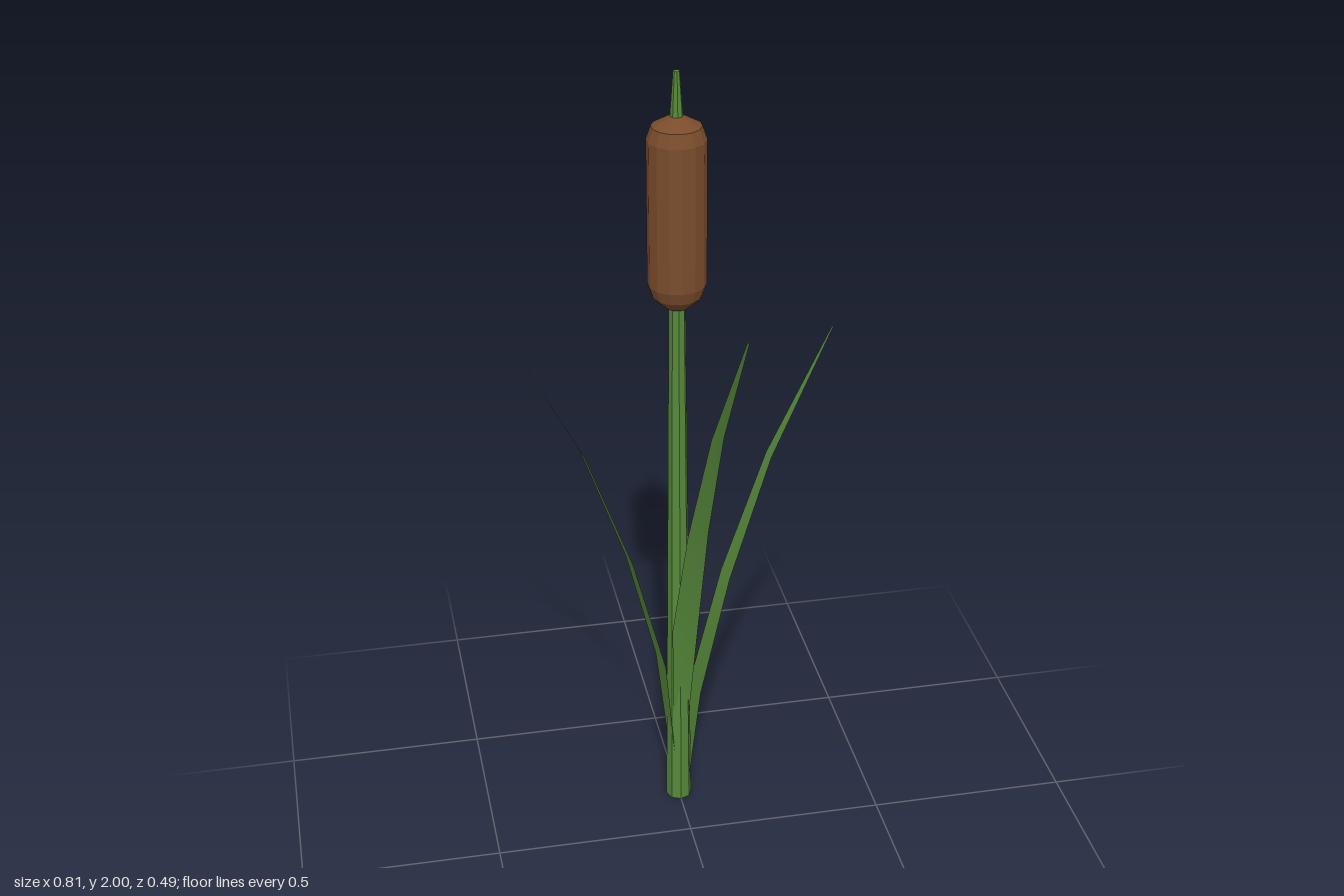
import * as THREE from 'three';

const green = new THREE.MeshStandardMaterial({ color: 0x56883a, flatShading: true });
const leafGreen = new THREE.MeshStandardMaterial({ color: 0x56883a, side: THREE.DoubleSide });
const brown = new THREE.MeshStandardMaterial({ color: 0x7a4c2c, flatShading: true });

// Leaf stations: [outward distance, height, half width]
const LEAF = [
  [0.015, 0, 0.02],
  [0.048, 0.323, 0.035],
  [0.13, 0.645, 0.027],
  [0.245, 0.968, 0.016],
  [0.41, 1.29, 0.003],
];

// Thin tapering ribbon that curves outward along +x
function leafGeometry() {
  const positions = [], index = [];
  LEAF.forEach(([out, y, half], i) => {
    positions.push(out, y, half, out, y, -half);
    if (i > 0) {
      const a = 2 * (i - 1);
      index.push(a, a + 1, a + 2, a + 1, a + 3, a + 2);
    }
  });
  const geometry = new THREE.BufferGeometry();
  geometry.setAttribute('position', new THREE.Float32BufferAttribute(positions, 3));
  geometry.setIndex(index);
  geometry.computeVertexNormals();
  return geometry;
}

function add(group, name, geometry, material, y = 0) {
  const mesh = new THREE.Mesh(geometry, material);
  mesh.name = name;
  mesh.position.y = y;
  group.add(mesh);
  return mesh;
}

export function createModel() {
  const plant = new THREE.Group();
  plant.name = 'reedPlant';

  // Stem and the spike above the seed head
  add(plant, 'stem', new THREE.CylinderGeometry(0.02, 0.033, 1.45, 8), green, 0.725);
  add(plant, 'spike', new THREE.CylinderGeometry(0.008, 0.018, 0.14, 8), green, 1.93);

  // Seed head with rounded ends
  const profile = [
    [0, 1.425], [0.028, 1.425], [0.06, 1.455], [0.07, 1.485],
    [0.07, 1.84], [0.059, 1.872], [0.018, 1.895], [0, 1.895],
  ].map(([r, y]) => new THREE.Vector2(r, y));
  add(plant, 'seedHead', new THREE.LatheGeometry(profile, 14), brown);

  // Leaves: [x, z heading, height on the stem]
  const geometry = leafGeometry();
  [
    ['rightLeaf', -0.403, 0.078, 0.11],
    ['leftLeaf', 0.403, -0.082, 0.005],
    ['frontLeaf', 0.08, 0.403, 0.225],
  ].forEach(([name, x, z, y]) => {
    add(plant, name, geometry, leafGreen, y).rotation.y = Math.atan2(-z, x);
  });

  // The stem stands behind the centre to balance the front leaf
  plant.position.z = -0.162;
  const model = new THREE.Group();
  model.add(plant);
  return model;
}
